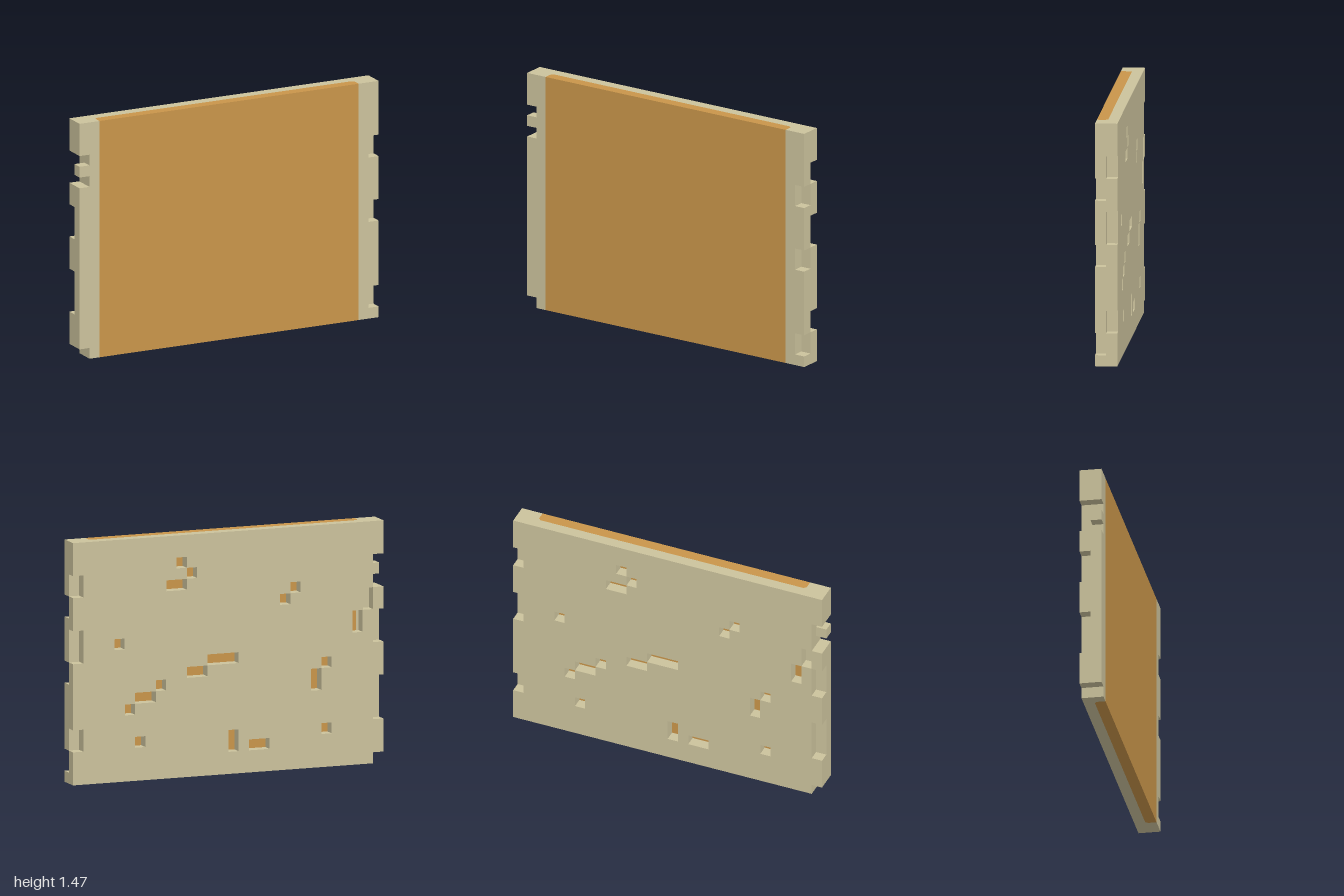
import * as THREE from 'three';

const U = 1 / 15; // one grid unit; the panel is 30 x 22 x 2 units
const H = 22;
const CHAMFER = 0.22;

// Extrude a polygon given in grid units
function extrude(points, depth, holes = []) {
  const toVec = ([x, y]) => new THREE.Vector2(x * U, y * U);
  const shape = new THREE.Shape(points.map(toVec));
  shape.holes = holes.map((h) => new THREE.Path(h.map(toVec)));
  return new THREE.ExtrudeGeometry(shape, { depth: depth * U, bevelEnabled: false });
}

// Plan polygon (x, z) extruded upward over the full height
function extrudeUp(plan) {
  return extrude(plan.map(([x, z]) => [x, -z]), H).rotateX(-Math.PI / 2);
}

// Upright rectangle with one-unit notches in its side edges;
// left notches run from the top down, right notches from the bottom up
function notchedOutline(x0, x1, left, right) {
  const pts = [[x0, H]];
  let cornerCut = false;
  for (const [a, b] of left) {
    pts.push([x0, b], [x0 + 1, b], [x0 + 1, a]);
    if (a > 0) pts.push([x0, a]);
    else cornerCut = true;
  }
  if (!cornerCut) pts.push([x0, 0]);
  pts.push([x1, 0]);
  for (const [a, b] of right) pts.push([x1, a], [x1 - 1, a], [x1 - 1, b], [x1, b]);
  pts.push([x1, H]);
  return pts;
}

// Rectangular pocket: column from the +x edge, row from the top, width, height.
// The tiny inset keeps pockets that meet at a corner apart.
function pocket([c, r, w, h]) {
  const e = 0.006;
  const x0 = 15 - c - w + e, x1 = 15 - c - e;
  const y0 = H - r - h + e, y1 = H - r - e;
  return [[x0, y0], [x0, y1], [x1, y1], [x1, y0]];
}

export function createModel() {
  const group = new THREE.Group();
  const cream = new THREE.MeshStandardMaterial({ color: 0xcbc29c });
  cream.name = 'cream';
  const orange = new THREE.MeshStandardMaterial({ color: 0xc9954a });
  orange.name = 'woodOrange';

  const add = (name, geometry, material) => {
    const mesh = new THREE.Mesh(geometry, material);
    mesh.name = name;
    group.add(mesh);
    return mesh;
  };

  // Back layer with pockets and notched edges
  const pockets = [
    [10, 2, 1, 1], [11, 3, 1, 1], [9, 4, 2, 1], [4, 9, 1, 1],
    [21, 5, 1, 1], [20, 6, 1, 1], [13, 11, 3, 1], [11, 12, 2, 1],
    [8, 13, 1, 1], [6, 14, 2, 1], [5, 15, 1, 1], [6, 18, 1, 1],
    [15, 18, 1, 2], [17, 19, 2, 1], [24, 12, 1, 1], [23, 13, 1, 2],
    [24, 18, 1, 1], [27, 8, 1, 2], [28, 6, 1, 2],
  ].map(pocket);
  const backOutline = notchedOutline(-15, 15,
    [[16, 19], [11, 14], [4, 8], [0, 1]],
    [[3, 5], [11, 14], [17, 19]]);
  add('backPlate', extrude(backOutline, 1, pockets), cream).position.z = -U;

  // Front edge strips
  add('rightEdgeStrip', extrude(notchedOutline(-15, -13,
    [[18, 19], [16, 17], [0, 1]], []), 1), cream);
  add('leftEdgeStrip', extrude(notchedOutline(13, 15,
    [], [[1, 3], [9, 11], [15, 17]]), 1), cream);

  // Front panel with chamfered rear corners
  add('frontPanel', extrudeUp([
    [-13, 1], [13, 1], [13, CHAMFER], [13 - CHAMFER, 0],
    [CHAMFER - 13, 0], [-13, CHAMFER],
  ]), orange);

  // Fillers behind the chamfers
  for (const s of [-1, 1]) {
    add(s < 0 ? 'rightCornerFiller' : 'leftCornerFiller', extrudeUp([
      [13 * s, 0], [(13 - CHAMFER) * s, 0], [13 * s, CHAMFER],
    ]), cream);
  }

  return group;
}
